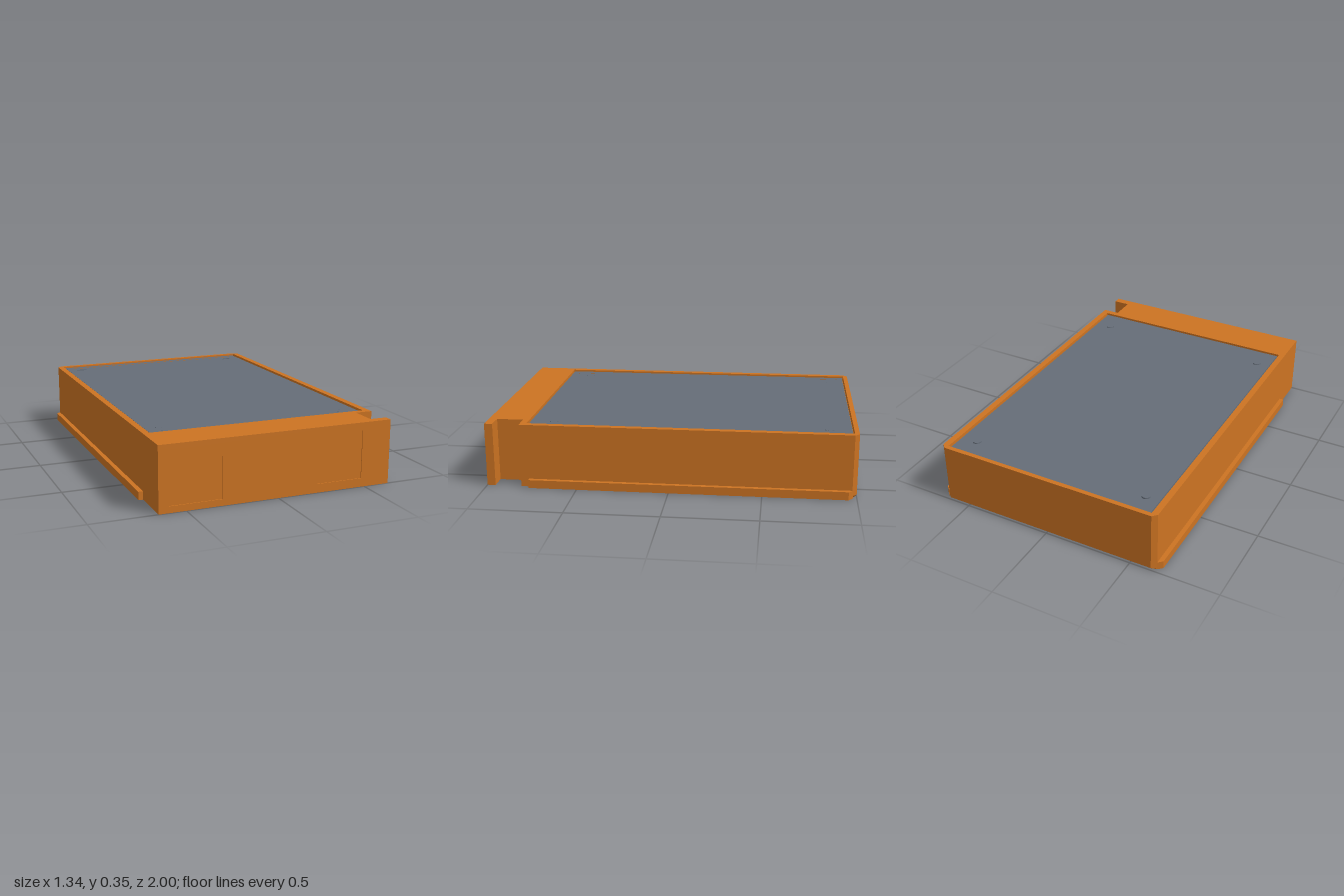
import * as THREE from 'three';

const orange = new THREE.MeshStandardMaterial({ color: 0xcc7322 });
orange.name = 'orange casing';
const grey = new THREE.MeshStandardMaterial({ color: 0x656d78 });
grey.name = 'slate grey';

const H = 0.35, FRONT = 0.995;

// Rectangle and slot outlines in plan, given as [x, z] points
const rect = (x0, x1, z0, z1) => [[x0, z0], [x1, z0], [x1, z1], [x0, z1]];
function slot(cx, cz, halfLength, r) {
  const pts = [];
  for (let i = 0; i <= 20; i++) {
    const right = i <= 10;
    const a = (right ? i : i - 1) / 10 * Math.PI;
    const shift = (right ? 1 : -1) * (halfLength - r);
    pts.push([cx + Math.cos(a) * r, cz + shift + Math.sin(a) * r]);
  }
  return pts;
}
const circle = (cx, cz, r, n = 32) => Array.from({ length: n }, (_, i) => {
  const a = i / n * Math.PI * 2;
  return [cx + Math.cos(a) * r, cz + Math.sin(a) * r];
});

// Flat slab with holes, lying between heights y0 and y1
function slab(name, material, outline, holes, y0, y1) {
  const toV = ([x, z]) => new THREE.Vector2(x, -z);
  const shape = new THREE.Shape(outline.map(toV));
  for (const h of holes) shape.holes.push(new THREE.Path(h.map(toV)));
  const g = new THREE.ExtrudeGeometry(shape, { depth: y1 - y0, bevelEnabled: false });
  g.rotateX(-Math.PI / 2).translate(0, y0, 0);
  const mesh = new THREE.Mesh(g, material);
  mesh.name = name;
  return mesh;
}

export function createModel() {
  const model = new THREE.Group();
  model.name = 'enclosure';

  // Casing: stacked layers sharing one outline with a side notch and clipped back corners
  const outline = [
    [-0.645, FRONT], [0.645, FRONT], [0.645, 0.955], [0.55, 0.955], [0.55, 0.81], [0.645, 0.81],
    [0.645, -0.975], [0.62, -1], [-0.62, -1], [-0.645, -0.975],
  ];
  const pocket = rect(-0.61, 0.61, -0.975, 0.775);
  const footSpots = [[0.55, -0.27], [0.55, 0.27], [-0.55, -0.27], [-0.55, 0.27]];
  const casing = new THREE.Group();
  casing.name = 'casing';
  const bottomRim = slab('bottomRim', orange, outline, [rect(-0.61, 0.61, -0.965, 0.765)], 0, 0.015);
  casing.add(
    bottomRim,
    slab('slottedFloor', orange, outline, footSpots.map(([x, z]) => slot(x, z, 0.065, 0.032)), 0.015, 0.027),
    slab('innerFloor', orange, outline, footSpots.map(([x, z]) => slot(x, z, 0.045, 0.017)), 0.027, 0.045),
    slab('core', orange, outline, [], 0.045, 0.32),
    slab('topRim', orange, outline, [pocket], 0.32, H),
  );
  // Bevel the lower back edge
  const p = bottomRim.geometry.attributes.position;
  for (let i = 0; i < p.count; i++) {
    if (p.getY(i) < 0.001 && p.getZ(i) < -0.99) p.setZ(i, -0.985);
  }
  bottomRim.geometry.computeVertexNormals();
  model.add(casing);

  // Front skin with two shallow rectangular recesses
  const face = new THREE.Shape([[-0.645, 0], [0.645, 0], [0.645, H], [-0.645, H]].map(([x, y]) => new THREE.Vector2(x, y)));
  for (const r of [rect(-0.59, -0.307, 0.035, 0.32), rect(0.222, 0.48, 0.047, 0.307)]) {
    face.holes.push(new THREE.Path(r.map(([x, y]) => new THREE.Vector2(x, y))));
  }
  const skin = new THREE.Mesh(new THREE.ExtrudeGeometry(face, { depth: 1 - FRONT, bevelEnabled: false }), orange);
  skin.name = 'frontPanel';
  skin.position.z = FRONT;
  model.add(skin);

  // Side rails
  for (const s of [1, -1]) {
    const rail = [[0.645, 0.765], [0.67, 0.765], [0.67, -0.955], [0.645, -0.978]].map(([x, z]) => [s * x, z]);
    model.add(slab(s > 0 ? 'leftRail' : 'rightRail', orange, rail, [], 0, 0.045));
  }

  // Lid: base plate plus a face layer cut for grooves, label and screws
  const lid = new THREE.Group();
  lid.name = 'lid';
  const lidOutline = rect(-0.6, 0.6, -0.968, 0.768);
  const label = rect(-0.41, 0.41, -0.67, 0.47);
  const screws = [[-0.515, -0.85], [0.515, -0.85], [-0.515, 0.645], [0.515, 0.645]];
  const cuts = [
    label,
    rect(-0.56, 0.56, -0.933, -0.926),
    rect(-0.56, 0.56, 0.726, 0.733),
    ...screws.map(([x, z]) => circle(x, z, 0.037)),
  ];
  lid.add(
    slab('lidBase', grey, lidOutline, [], 0.32, 0.328),
    slab('lidFace', grey, lidOutline, cuts, 0.328, 0.342),
    slab('labelPanel', grey, label, [], 0.328, 0.337),
  );
  // Screw heads with hexagonal sockets
  for (const [x, z] of screws) {
    lid.add(slab('screwHead', grey, circle(x, z, 0.023), [circle(x, z, 0.012, 6)], 0.328, 0.338));
  }
  model.add(lid);
  return model;
}
